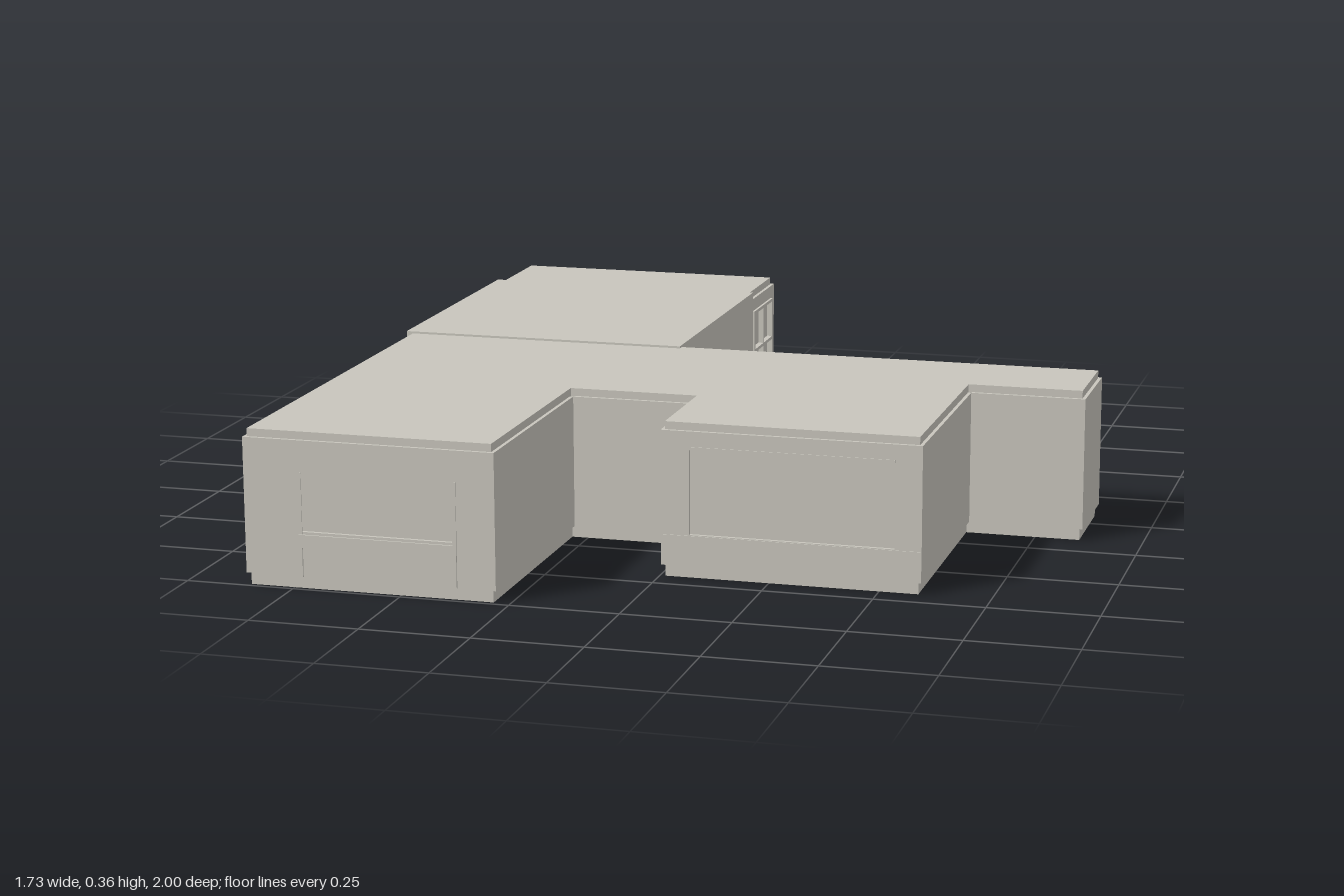
import * as THREE from 'three';

const T = 0.008; // cladding thickness, also the window recess
const ROOF = 0.354, PANEL_LOW = 0.028, PANEL_TOP = 0.336;
const plaster = new THREE.MeshStandardMaterial({ color: 0xc8c5bc });
plaster.name = 'warm grey plaster';

function add(parent, geometry, name, x = 0, y = 0, z = 0) {
  const mesh = new THREE.Mesh(geometry, plaster);
  mesh.name = name;
  mesh.position.set(x, y, z);
  parent.add(mesh);
  return mesh;
}

// Box given by its limits
function block(parent, name, x0, x1, y0, y1, z0, z1) {
  const geometry = new THREE.BoxGeometry(x1 - x0, y1 - y0, z1 - z0);
  return add(parent, geometry, name, (x0 + x1) / 2, (y0 + y1) / 2, (z0 + z1) / 2);
}

// Frame and glazing bars around a recessed opening
function glazing(wall, { x0, x1, y0, y1, cols = 1, rows = 1, bar = 0.006, proud = 0 }) {
  const z1 = T + proud, h = bar / 2;
  for (let i = 0; i <= cols; i++) {
    const x = x0 + (x1 - x0) * i / cols;
    block(wall, 'windowUpright', x - h, x + h, y0 - h, y1 + h, 0, z1);
  }
  for (let j = 0; j <= rows; j++) {
    const y = y0 + (y1 - y0) * j / rows;
    block(wall, 'windowRail', x0 - h, x1 + h, y - h, y + h, 0, z1);
  }
}

// Cladding plate on one edge; local x runs along the wall, local z points outward
function wallPlate(parent, a, b, opening, plinthTop) {
  const dx = b[0] - a[0], dz = b[1] - a[1], length = Math.hypot(dx, dz);
  const wall = new THREE.Group();
  wall.name = 'wall';
  wall.rotation.y = Math.atan2(-dz, dx);
  wall.position.set(a[0] + dz / length * T, 0, a[1] - dx / length * T);
  const shape = new THREE.Shape([
    new THREE.Vector2(0, PANEL_LOW), new THREE.Vector2(length, PANEL_LOW),
    new THREE.Vector2(length, PANEL_TOP), new THREE.Vector2(0, PANEL_TOP)]);
  if (opening) {
    const { x0, x1, y0, y1 } = opening;
    shape.holes.push(new THREE.Path([
      new THREE.Vector2(x0, y0), new THREE.Vector2(x0, y1),
      new THREE.Vector2(x1, y1), new THREE.Vector2(x1, y0)]));
    if (opening.cols) glazing(wall, opening);
  }
  add(wall, new THREE.ExtrudeGeometry(shape, { depth: T, bevelEnabled: false }), 'cladding');
  if (plinthTop) block(wall, 'lowerPanel', 0, length, PANEL_LOW, plinthTop, T, T + 0.002);
  parent.add(wall);
  return wall;
}

// Flat-roofed volume: inset core showing as base and eave bands, with cladding between
function volume(parent, name, outline, openings = {}, plinths = {}) {
  const group = new THREE.Group();
  group.name = name;
  const n = outline.length;
  const normal = i => {
    const a = outline[(i + n) % n], b = outline[(i + 1) % n];
    const l = Math.hypot(b[0] - a[0], b[1] - a[1]);
    return [-(b[1] - a[1]) / l, (b[0] - a[0]) / l];
  };
  const inset = outline.map(([x, z], i) => {
    const p = normal(i - 1), q = normal(i);
    return new THREE.Vector2(x - T * (p[0] + q[0]), -(z - T * (p[1] + q[1])));
  });
  const core = new THREE.ExtrudeGeometry(new THREE.Shape(inset), { depth: ROOF, bevelEnabled: false });
  add(group, core.rotateX(-Math.PI / 2), 'coreAndRoof');
  const walls = outline.map((a, i) => wallPlate(group, a, outline[(i + 1) % n], openings[i], plinths[i]));
  parent.add(group);
  return walls;
}

export function createModel() {
  const model = new THREE.Group();
  model.name = 'building';

  // Front wings and cross bar
  const walls = volume(model, 'frontWings', [
    [-0.86, 0.996], [-0.28, 0.996], [-0.28, 0.435], [0.005, 0.435], [0.005, 0.696],
    [0.596, 0.696], [0.596, 0.16], [0.862, 0.16], [0.862, -0.08], [-0.86, -0.08],
  ], {
    0: { x0: 0.13, x1: 0.487, y0: 0.13, y1: 0.262 },
    4: { x0: 0.065, x1: 0.53, y0: 0.1, y1: 0.3 },
  }, { 4: 0.098 });

  // Sill shelf on two slim legs under the front window
  block(walls[0], 'windowSill', 0.125, 0.492, 0.095, 0.124, T, T + 0.004);
  for (const x of [0.125, 0.482]) block(walls[0], 'sillLeg', x, x + 0.01, 0.028, 0.095, T, T + 0.004);
  for (const x of [0.125, 0.482]) block(walls[0], 'windowJamb', x, x + 0.01, 0.124, 0.265, T, T + 0.002);
  // Header above the wide window
  block(walls[4], 'windowHeader', 0.065, 0.53, 0.294, 0.301, 0, T + 0.002);

  // Plain rear wing, a little wider and taller
  block(model, 'rearWing', -0.868, -0.165, 0, 0.359, -0.75, -0.055);

  // Glazed end bay
  const side = { y0: 0.095, y1: 0.3, cols: 2, rows: 2, bar: 0.008, proud: 0.006 };
  volume(model, 'endBay', [[-0.862, -0.74], [-0.172, -0.74], [-0.172, -0.997], [-0.862, -0.997]], {
    1: { ...side, x0: 0.035, x1: 0.22 },
    2: { x0: 0.06, x1: 0.63, y0: 0.105, y1: 0.3, cols: 4, bar: 0.008, proud: 0.002 },
    3: { ...side, x0: 0.037, x1: 0.222 },
  }, { 2: 0.09 });

  return model;
}
